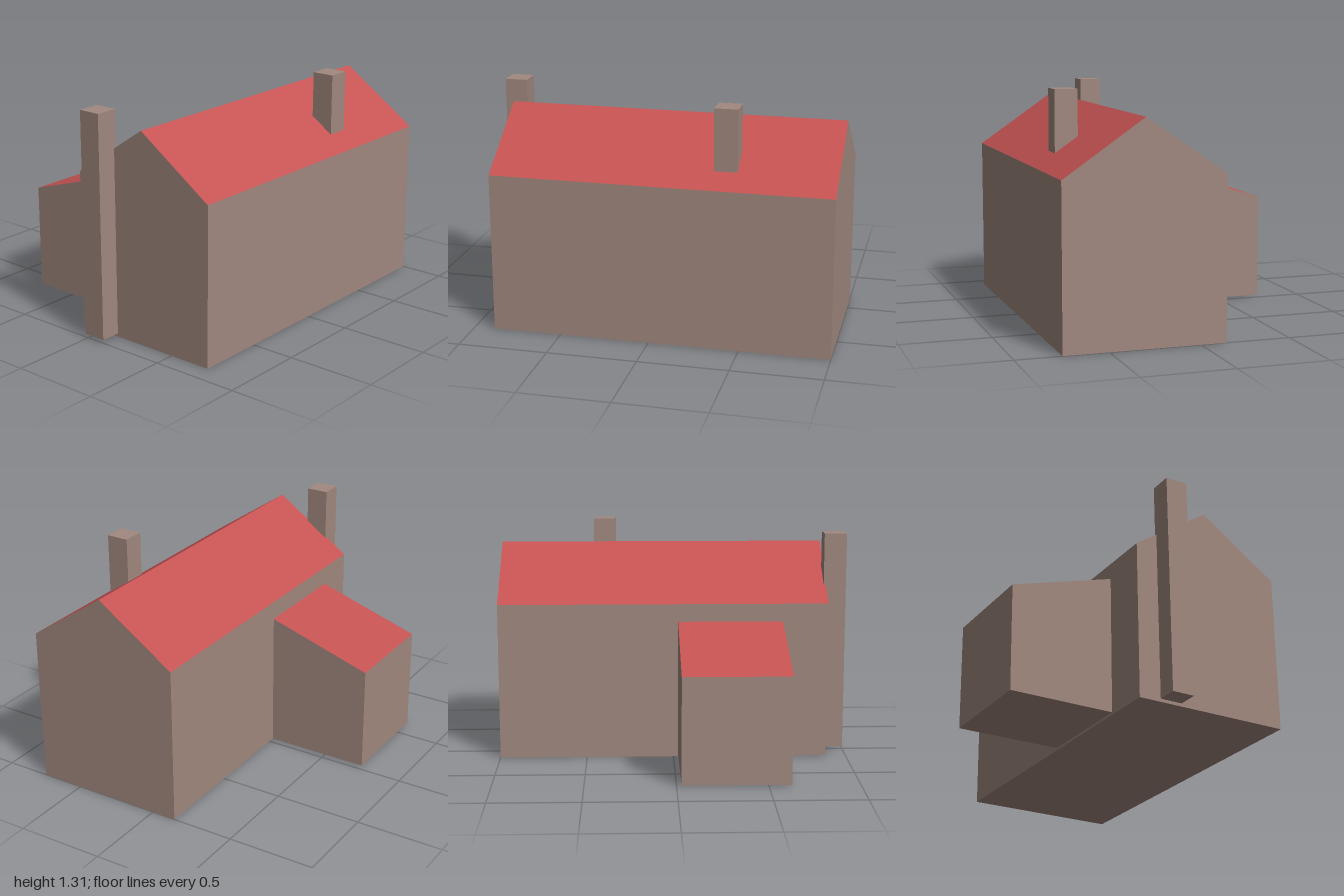
import * as THREE from 'three';

const wall = new THREE.MeshStandardMaterial({ color: 0xa1897f });
wall.name = 'wall brown';
const roof = new THREE.MeshStandardMaterial({ color: 0xc65353 });
roof.name = 'roof red';

// Extrudes a (z, y) profile along x; upward-facing sides become roof
function building(name, profile, xMin, xMax) {
  const shape = new THREE.Shape(profile.map(([z, y]) => new THREE.Vector2(z, y)));
  const geo = new THREE.ExtrudeGeometry(shape, { depth: xMax - xMin, bevelEnabled: false });
  geo.rotateY(-Math.PI / 2).translate(xMax, 0, 0);
  geo.clearGroups();
  const normal = geo.attributes.normal;
  for (let i = 0; i < normal.count; i += 3) {
    geo.addGroup(i, 3, normal.getY(i) > 0.1 ? 1 : 0);
  }
  const mesh = new THREE.Mesh(geo, [wall, roof]);
  mesh.name = name;
  return mesh;
}

// Box between two corners
function chimney(name, [x0, y0, z0], [x1, y1, z1]) {
  const geo = new THREE.BoxGeometry(x1 - x0, y1 - y0, z1 - z0);
  geo.translate((x0 + x1) / 2, (y0 + y1) / 2, (z0 + z1) / 2);
  const mesh = new THREE.Mesh(geo, wall);
  mesh.name = name;
  return mesh;
}

export function createModel() {
  const house = new THREE.Group();
  house.name = 'house';
  house.add(
    // Gabled main house
    building('mainHouse',
      [[-0.142, 0], [0.748, 0], [0.748, 0.895], [0.303, 1.2], [-0.142, 0.895]], -0.885, 1),
    // Lean-to annex behind, with a single sloping roof
    building('annex',
      [[-0.748, 0.008], [-0.15, 0.008], [-0.15, 0.795], [-0.748, 0.607]], -0.625, -0.027),
    // Tall chimney on the end wall, short one on the front slope
    chimney('endChimney', [-1, 0.018, -0.015], [-0.872, 1.28, 0.113]),
    chimney('roofChimney', [0.336, 0.9, 0.51], [0.464, 1.312, 0.638]),
  );
  return house;
}
